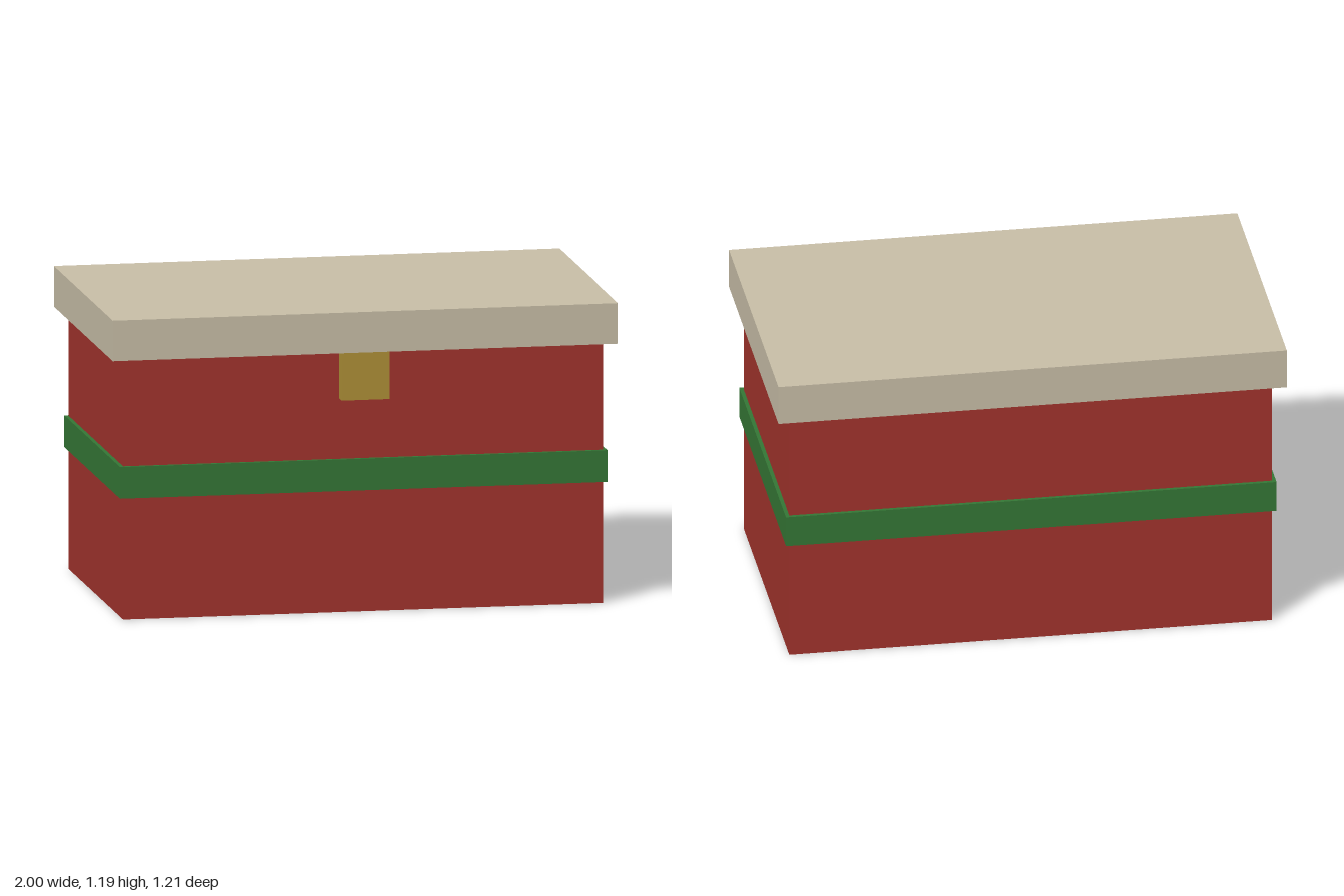
import * as THREE from 'three';

const paint = (name, color) => {
  const material = new THREE.MeshStandardMaterial({ color });
  material.name = name;
  return material;
};

// Box given by its width, depth, bottom and top heights, and centre z
function slab(name, material, width, depth, y0, y1, z = 0) {
  const mesh = new THREE.Mesh(new THREE.BoxGeometry(width, y1 - y0, depth), material);
  mesh.name = name;
  mesh.position.set(0, (y0 + y1) / 2, z);
  return mesh;
}

export function createModel() {
  const red = paint('red', 0xa3342d);
  const green = paint('green', 0x357836);
  const cream = paint('cream', 0xcac0a9);
  const gold = paint('gold', 0xb09238);

  const chest = new THREE.Group();
  chest.name = 'chest';
  chest.add(
    slab('body', red, 1.9, 1.11, 0, 1.03),
    // Band wraps all four sides
    slab('band', green, 1.93, 1.14, 0.48, 0.605),
    // Lid overhangs the body
    slab('lid', cream, 2, 1.206, 1.03, 1.19),
    // Clasp hangs under the lid's front edge
    slab('clasp', gold, 0.19, 0.048, 0.843, 1.03, 0.579),
  );
  return chest;
}
